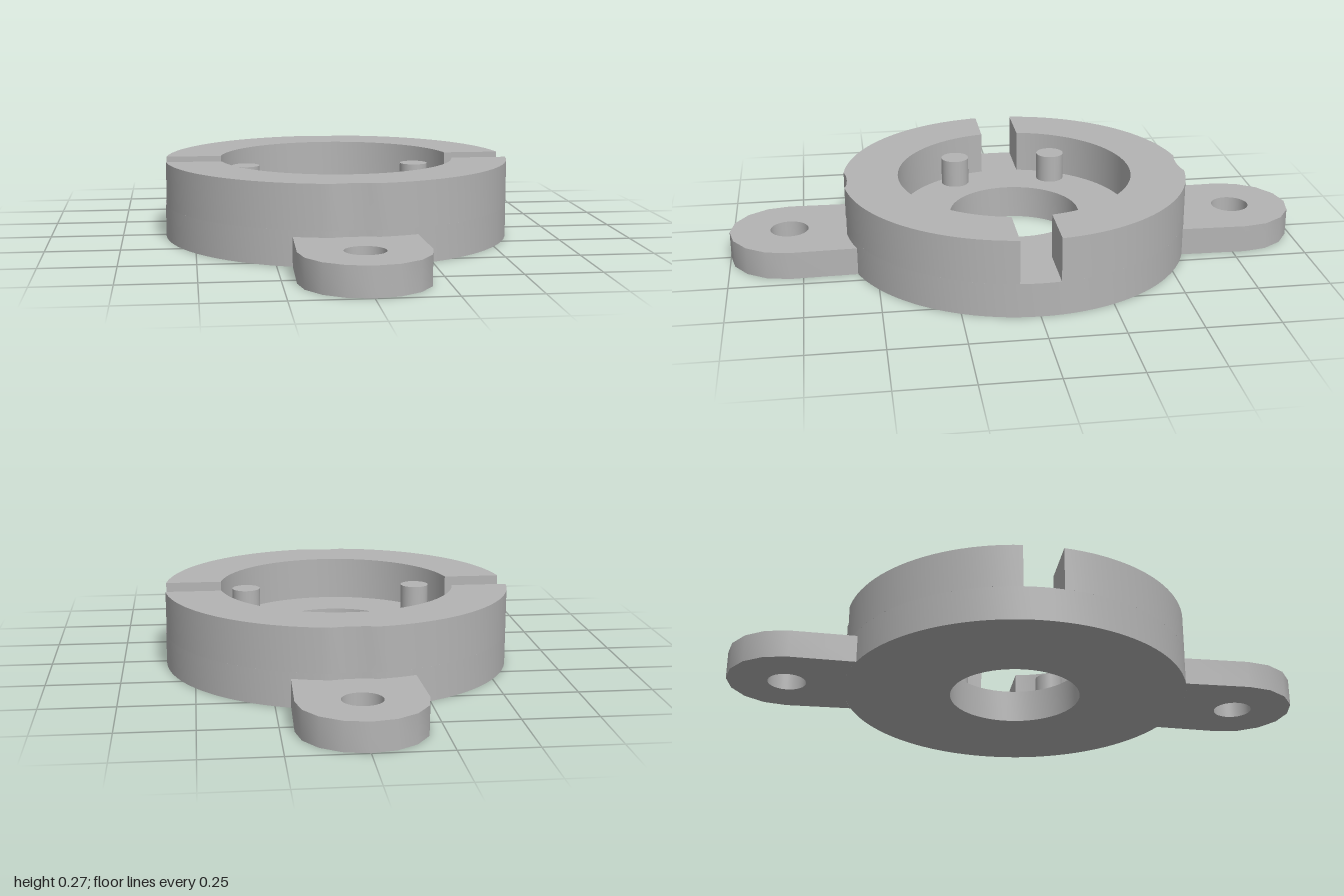
import * as THREE from 'three';
import { toCreasedNormals } from 'three/addons/utils/BufferGeometryUtils.js';

const R = 0.6, POCKET = 0.409, BORE = 0.228;
const FLOOR = 0.117, TOP = 0.267, LUG_TOP = 0.096;
const SLOT = 0.067, LUG_Z = 0.793, LUG_R = 0.206, LUG_HOLE = 0.066;

const arc = (r, from, to, n, cy = 0) => Array.from({ length: n + 1 }, (_, i) => {
  const a = from + (to - from) * i / n;
  return new THREE.Vector2(r * Math.cos(a), cy + r * Math.sin(a));
});

// Rim arc across one lug side, with the shallow relief scooped out at its middle
function rim(from, to) {
  const a = Math.asin(0.075 / R), mid = Math.PI / 2;
  const relief = [[0.04, 0.588], [0, 0.586], [-0.04, 0.588]].map(p => new THREE.Vector2(...p));
  return [...arc(R, from, mid - a, 24), ...relief, ...arc(R, mid + a, to, 24)];
}

function slab(points, holes, y0, y1) {
  const shape = new THREE.Shape(points);
  for (const h of holes) shape.holes.push(new THREE.Path(h));
  const g = new THREE.ExtrudeGeometry(shape, { depth: y1 - y0, bevelEnabled: false });
  g.rotateX(-Math.PI / 2).translate(0, y0, 0);
  return toCreasedNormals(g, 0.5);
}

export function createModel() {
  const model = new THREE.Group();
  model.name = 'mountingRing';
  const grey = new THREE.MeshStandardMaterial({ color: 0xb4b4b4 });
  grey.name = 'grey';
  const add = (name, geometry, turn = 0) => {
    const m = new THREE.Mesh(geometry, grey);
    m.name = name;
    m.rotation.y = turn;
    model.add(m);
    return m;
  };

  // Floor disc with central bore
  const half = rim(0, Math.PI).slice(0, -1);
  const disc = [...half, ...half.map(p => p.clone().negate())];
  add('floorDisc', slab(disc, [arc(BORE, 0, -Math.PI * 2, 64).slice(0, -1)], 0, FLOOR));

  // Half walls, leaving a slot at each side
  const ao = Math.asin(SLOT / R), ai = Math.asin(SLOT / POCKET);
  const wall = slab([...rim(ao, Math.PI - ao), ...arc(POCKET, Math.PI - ai, ai, 48)], [], FLOOR, TOP);

  // Lugs: rounded tab with a screw hole, meeting the rim
  const al = Math.acos(0.2 / R);
  const tab = [...arc(LUG_R, 0, Math.PI, 8, LUG_Z), ...rim(al, Math.PI - al).reverse()];
  const lug = slab(tab, [arc(LUG_HOLE, 0, -Math.PI * 2, 32, LUG_Z).slice(0, -1)], 0, LUG_TOP);

  for (const [side, turn] of [['back', 0], ['front', Math.PI]]) {
    add(side + 'Wall', wall, turn);
    add(side + 'Lug', lug, turn);
  }

  // Locating pegs on the pocket floor
  const peg = new THREE.CylinderGeometry(0.05, 0.05, 0.098, 24);
  for (const x of [-0.31, 0.31]) for (const z of [-0.179, 0.179])
    add('peg', peg).position.set(x, FLOOR + 0.049, z);

  return model;
}
